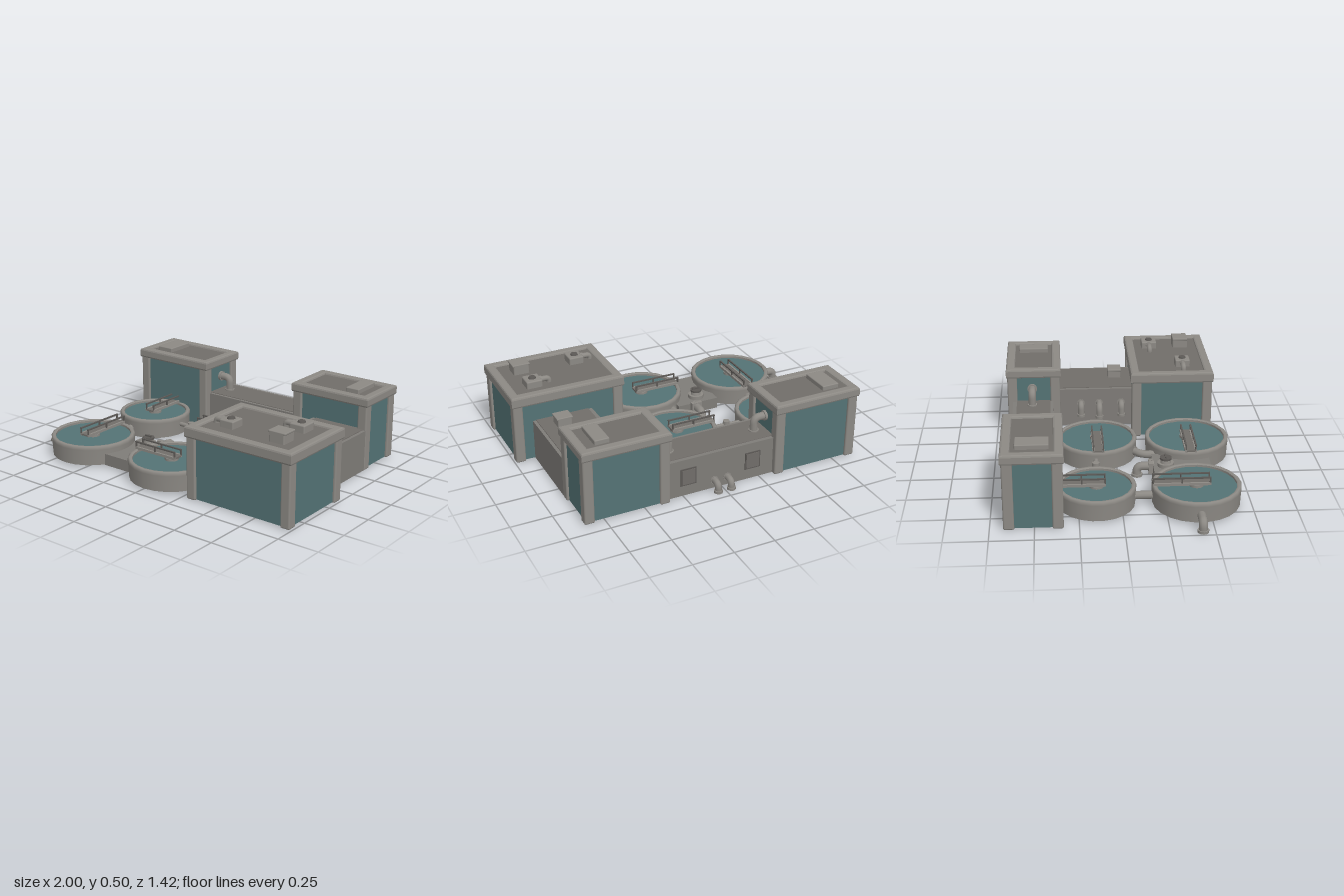
import * as THREE from 'three';
import { RoundedBoxGeometry } from 'three/addons/geometries/RoundedBoxGeometry.js';

const mat = (name, color) => Object.assign(new THREE.MeshStandardMaterial({ color }), { name });

export function createModel() {
  const model = new THREE.Group();
  const trim = mat('light grey trim', 0x8c8984);
  const concrete = mat('concrete', 0x7f7c78);
  const roofGrey = mat('roof grey', 0x716d69);
  const teal = mat('teal', 0x547375);
  const darkMetal = mat('dark metal', 0x5c5956);

  const add = (parent, name, geo, m, x = 0, y = 0, z = 0) => {
    const mesh = new THREE.Mesh(geo, m);
    mesh.name = name;
    mesh.position.set(x, y, z);
    parent.add(mesh);
    return mesh;
  };
  const group = (name, x = 0, y = 0, z = 0) => {
    const g = new THREE.Group();
    g.name = name;
    g.position.set(x, y, z);
    model.add(g);
    return g;
  };
  // box given by its extents
  const span = (parent, name, m, x0, x1, y0, y1, z0, z1, r = 0) => {
    const s = [x1 - x0, y1 - y0, z1 - z0];
    const geo = r ? new RoundedBoxGeometry(...s, 2, r) : new THREE.BoxGeometry(...s);
    return add(parent, name, geo, m, (x0 + x1) / 2, (y0 + y1) / 2, (z0 + z1) / 2);
  };
  const cyl = (parent, name, m, r0, r1, h, x, y, z, n = 16) =>
    add(parent, name, new THREE.CylinderGeometry(r0, r1, h, n), m, x, y, z);

  // pipe through points, with a flange at each end
  const pipe = (name, r, points, flanges = true) => {
    const g = group(name);
    const pts = points.map(p => new THREE.Vector3(...p));
    const path = new THREE.CurvePath();
    let from = pts[0];
    for (let i = 1; i < pts.length - 1; i++) {
      const bend = Math.min(0.035, pts[i].distanceTo(pts[i - 1]) * 0.6, pts[i].distanceTo(pts[i + 1]) * 0.6);
      const a = pts[i].clone().add(pts[i - 1].clone().sub(pts[i]).setLength(bend));
      const b = pts[i].clone().add(pts[i + 1].clone().sub(pts[i]).setLength(bend));
      path.add(new THREE.LineCurve3(from, a));
      path.add(new THREE.QuadraticBezierCurve3(a, pts[i], b));
      from = b;
    }
    path.add(new THREE.LineCurve3(from, pts[pts.length - 1]));
    const tube = add(g, name + 'Tube', new THREE.TubeGeometry(path, 18, r, 10), trim);
    tube.material = trim;
    if (flanges) for (const t of [0, 1]) {
      const p = path.getPointAt(t);
      const f = cyl(g, 'flange', trim, r * 1.3, r * 1.3, 0.016, p.x, p.y, p.z, 12);
      f.quaternion.setFromUnitVectors(new THREE.Vector3(0, 1, 0), path.getTangentAt(t).normalize());
    }
    return g;
  };

  // rectangular ring with softened edges, used as a roof cornice
  const ring = (w, d, h, border, bevel) => {
    const rect = (P, a, b) => new P().moveTo(-a, -b).lineTo(a, -b).lineTo(a, b).lineTo(-a, b).closePath();
    const s = rect(THREE.Shape, w / 2 - bevel, d / 2 - bevel);
    s.holes.push(rect(THREE.Path, w / 2 - border, d / 2 - border));
    return new THREE.ExtrudeGeometry(s, {
      depth: h - 2 * bevel, bevelThickness: bevel, bevelSize: bevel, bevelSegments: 2,
    }).translate(0, 0, bevel).rotateX(-Math.PI / 2);
  };

  // building: teal walls, corner pillars, cornice and sunken roof
  const building = (name, x0, x1, z0, z1, h, cornice) => {
    const g = group(name);
    const i = 0.022, p = 0.062;
    span(g, 'walls', teal, x0 + i, x1 - i, 0.005, h - 0.03, z0 + i, z1 - i);
    for (const x of [x0 + 0.007, x1 - 0.007 - p])
      for (const z of [z0 + 0.007, z1 - 0.007 - p])
        span(g, 'cornerPillar', trim, x, x + p, 0, h - cornice + 0.02, z, z + p, 0.01);
    add(g, 'cornice', ring(x1 - x0, z1 - z0, cornice, 0.045, 0.012), trim, (x0 + x1) / 2, h - cornice, (z0 + z1) / 2);
    span(g, 'roof', roofGrey, x0 + 0.03, x1 - 0.03, h - 0.05, h - 0.012, z0 + 0.03, z1 - 0.03);
    return g;
  };
  const backRight = building('backRightBuilding', -0.9, -0.33, -0.68, -0.33, 0.46, 0.06);
  const backLeft = building('backLeftBuilding', 0.34, 0.88, -0.68, -0.33, 0.46, 0.06);
  const main = building('mainBuilding', 0.28, 1, 0.115, 0.645, 0.44, 0.07);
  span(backRight, 'roofHatch', trim, -0.8, -0.69, 0.44, 0.476, -0.6, -0.41, 0.006);
  span(backLeft, 'roofHatch', trim, 0.68, 0.77, 0.44, 0.476, -0.6, -0.41, 0.006);

  // low connecting blocks
  const back = group('backConnector');
  span(back, 'connectorBody', concrete, -0.35, 0.36, 0.003, 0.238, -0.64, -0.38);
  span(back, 'connectorRoof', roofGrey, -0.35, 0.36, 0.236, 0.241, -0.615, -0.4);
  for (const x of [-0.2, 0.22]) {
    span(back, 'wallPanel', darkMetal, x - 0.05, x + 0.05, 0.07, 0.18, -0.645, -0.638);
    span(back, 'panelFace', roofGrey, x - 0.042, x + 0.042, 0.078, 0.172, -0.648, -0.642);
  }
  const side = group('sideConnector');
  span(side, 'connectorBody', concrete, 0.49, 0.87, 0.003, 0.256, -0.36, 0.14);
  span(side, 'connectorRoof', roofGrey, 0.515, 0.85, 0.254, 0.26, -0.36, 0.14);

  // roof vents
  const vent = (x, y, z, w, h, ducted) => {
    const g = group('roofVent', x, y, z);
    span(g, 'ventBox', trim, -w / 2, w / 2, -0.01, h, -w / 2, w / 2, 0.008);
    if (ducted) {
      cyl(g, 'ventCap', darkMetal, 0.02, 0.025, 0.012, 0, h + 0.004, 0, 10);
      pipe('ventDuct', 0.017, [[x - w / 2, y + 0.025, z], [x - w / 2 - 0.055, y + 0.025, z], [x - w / 2 - 0.055, y - 0.01, z]]);
    } else {
      span(g, 'ventHood', trim, -w / 2 - 0.006, w / 2 + 0.006, h - 0.014, h, -w / 2, w / 2, 0.005);
    }
  };
  vent(0.47, 0.428, 0.46, 0.095, 0.045, true);
  vent(0.815, 0.428, 0.27, 0.1, 0.045, true);
  vent(0.825, 0.428, 0.48, 0.1, 0.065, false);
  vent(0.72, 0.258, 0.03, 0.09, 0.06, false);

  // settling tank with a bridge; angle turns the bridge's outer end
  const tank = (name, x, z, r, angle, inner) => {
    const g = group(name, x, 0, z);
    const profile = [[0, 0.004], [r - 0.03, 0.004], [r - 0.006, 0.012], [r - 0.006, 0.012], [r - 0.002, 0.1], [r, 0.11],
      [r, 0.126], [r - 0.008, 0.133], [r - 0.02, 0.133], [r - 0.026, 0.128], [r - 0.026, 0.128], [r - 0.026, 0.1]];
    add(g, 'tankWall', new THREE.LatheGeometry(profile.map(p => new THREE.Vector2(...p)), 22), trim).material.side = THREE.DoubleSide;
    cyl(g, 'water', teal, r - 0.02, r - 0.02, 0.01, 0, 0.11, 0, 22);
    cyl(g, 'centreDrum', trim, 0.042, 0.042, 0.02, 0, 0.12, 0);
    const bridge = new THREE.Group();
    bridge.name = 'bridge';
    bridge.rotation.y = angle;
    g.add(bridge);
    const end = -(r - 0.005);
    span(bridge, 'deck', roofGrey, end, inner, 0.132, 0.142, -0.026, 0.026);
    for (const s of [-0.03, 0.03]) {
      span(bridge, 'sideBeam', trim, end, inner, 0.13, 0.146, s - 0.006, s + 0.006);
      span(bridge, 'handrail', darkMetal, end, inner, 0.172, 0.18, s - 0.005, s + 0.005);
      for (let i = 0; i < 3; i++) {
        const px = end + 0.004 + (inner - end - 0.008) * i / 2;
        span(bridge, 'railPost', darkMetal, px - 0.004, px + 0.004, 0.14, 0.176, s - 0.004, s + 0.004);
      }
    }
  };
  tank('frontRightTank', -0.63, 0.43, 0.26, -Math.PI / 2, 0.08);
  tank('frontLeftTank', 0.02, 0.445, 0.26, 0, 0.05);
  tank('backRightTank', -0.615, -0.145, 0.23, -Math.PI / 2, 0.055);
  tank('backLeftTank', 0.035, -0.115, 0.25, 0, 0.045);

  // pump slab between the front tanks
  const slab = group('pumpSlab');
  span(slab, 'slab', concrete, -0.42, -0.14, 0.008, 0.08, 0.21, 0.56);
  cyl(slab, 'pumpBase', trim, 0.05, 0.05, 0.025, -0.3, 0.09, 0.285);
  cyl(slab, 'pumpBody', trim, 0.028, 0.034, 0.03, -0.3, 0.112, 0.285);
  cyl(slab, 'pumpCap', darkMetal, 0.036, 0.036, 0.012, -0.3, 0.13, 0.285);
  span(slab, 'valveHandle', darkMetal, -0.325, -0.275, 0.138, 0.146, 0.28, 0.29);
  span(slab, 'pipeCollar', trim, -0.295, -0.225, 0.02, 0.09, 0.185, 0.212);
  pipe('slabPipe', 0.026, [[-0.26, 0.06, 0.21], [-0.26, 0.06, 0.115], [-0.26, 0.005, 0.115]]);

  // pipes between the tanks
  pipe('tankLinkPipe', 0.024, [[-0.63, 0.06, 0.07], [-0.63, 0.06, 0.19]]);
  pipe('tankLinkPipe', 0.014, [[-0.4, 0.08, -0.14], [-0.2, 0.08, -0.13]]);
  cyl(model, 'valve', trim, 0.022, 0.022, 0.05, -0.3, 0.085, -0.135, 10);
  pipe('tankLinkPipe', 0.024, [[-0.05, 0.06, 0.11], [-0.1, 0.06, 0.16], [-0.1, 0.06, 0.23]]);
  pipe('outletPipe', 0.025, [[-0.87, 0.06, 0.43], [-0.968, 0.06, 0.43], [-0.968, 0.008, 0.43]]);

  // wall pipes
  for (const [wall, s] of [[-0.345, 1], [0.355, -1]])
    pipe('roofElbow', 0.024, [[wall, 0.325, -0.515], [wall + s * 0.07, 0.325, -0.515], [wall + s * 0.07, 0.24, -0.515]]);
  for (const x of [-0.035, 0.05])
    pipe('rearPipe', 0.02, [[x, 0.055, -0.635], [x, 0.055, -0.692], [x, 0.008, -0.692]]);
  for (const [z, x] of [[-0.2, 0.45], [-0.08, 0.42], [0.065, 0.45]])
    pipe('sidePipe', 0.02, [[0.495, 0.16, z], [x, 0.16, z], [x, 0.09, z]]);

  return model;
}
